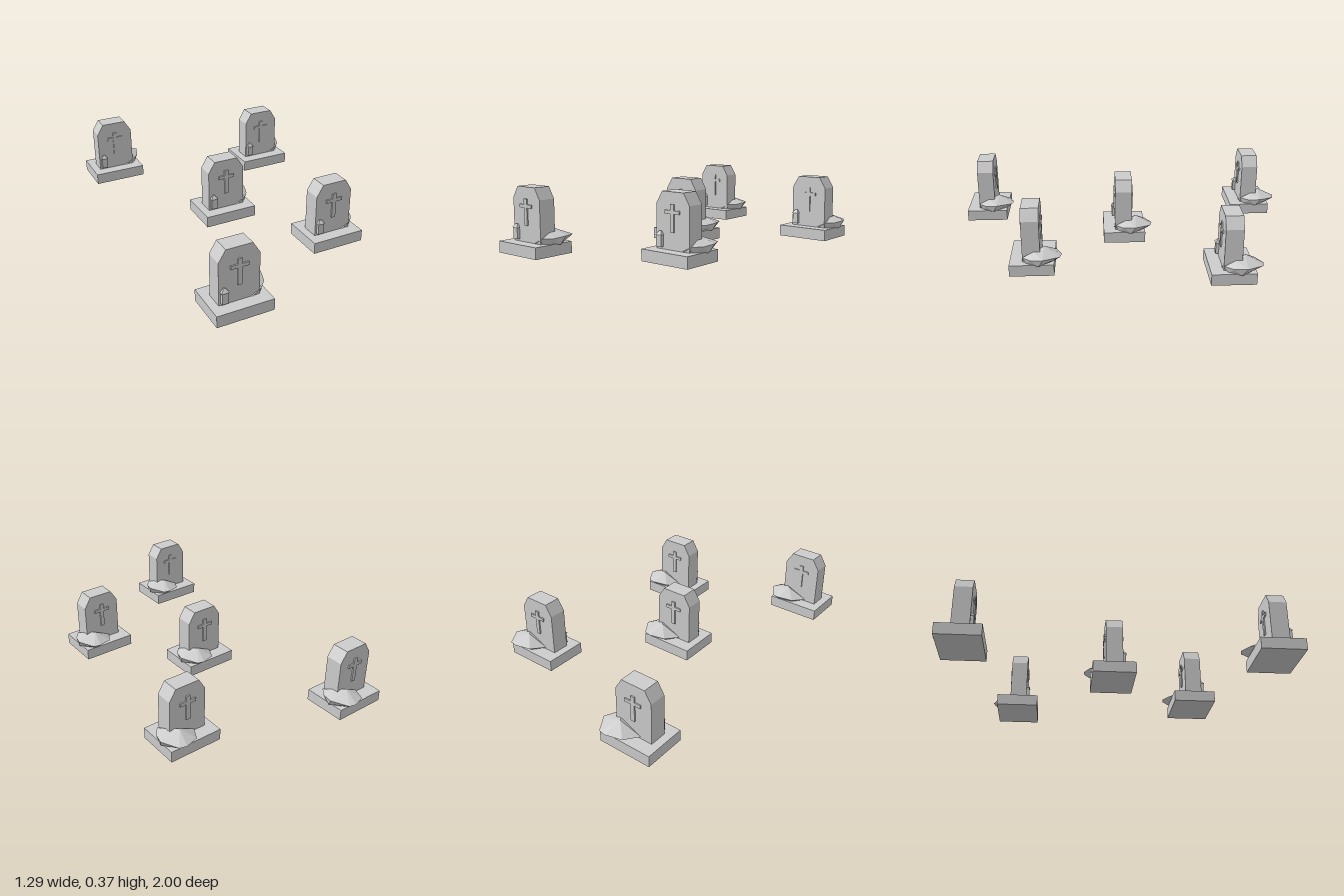
import * as THREE from 'three';
import { ConvexGeometry } from 'three/addons/geometries/ConvexGeometry.js';

const stoneGrey = new THREE.MeshStandardMaterial({ color: 0xcccccc });
stoneGrey.name = 'stone grey';

function part(name, geometry, x = 0, y = 0, z = 0) {
  const mesh = new THREE.Mesh(geometry, stoneGrey);
  mesh.name = name;
  mesh.position.set(x, y, z);
  return mesh;
}

// Extrude an outline along z, centred on z = 0
function slab(points, depth) {
  const shape = new THREE.Shape(points.map(([x, y]) => new THREE.Vector2(x, y)));
  const geometry = new THREE.ExtrudeGeometry(shape, { depth, bevelEnabled: false });
  return geometry.translate(0, 0, -depth / 2);
}

// Square frustum with sides parallel to the axes and flat faces
function squareFrustum(topWidth, bottomWidth, height) {
  const geometry = new THREE.CylinderGeometry(topWidth * Math.SQRT1_2, bottomWidth * Math.SQRT1_2, height, 4)
    .rotateY(Math.PI / 4).toNonIndexed();
  geometry.computeVertexNormals();
  return geometry;
}

// Shared part geometries
const plinthGeometry = new THREE.BoxGeometry(0.317, 0.066, 0.25);

const headstoneGeometry = slab([
  [-0.113, 0.066], [0.113, 0.066], [0.113, 0.308],
  [0.073, 0.373], [-0.073, 0.373], [-0.113, 0.308],
], 0.1);

const crossHalf = [[0.012, 0.16], [0.012, 0.258], [0.05, 0.258], [0.05, 0.277], [0.012, 0.277], [0.012, 0.308]];
const crossGeometry = slab(
  [...crossHalf, ...crossHalf.map(([x, y]) => [-x, y]).reverse()], 0.016);

const lanternBodyGeometry = new THREE.BoxGeometry(0.035, 0.064, 0.035);
const lanternRoofGeometry = squareFrustum(0.012, 0.042, 0.021);

// Low faceted boulder, tilted up towards the outer side
const boulderGeometry = new ConvexGeometry([
  // rim
  [-0.044, 0.075, -0.045], [0.004, 0.09, -0.134], [0.09, 0.1, -0.167], [0.131, 0.1, -0.158],
  [0.184, 0.107, -0.066], [0.164, 0.098, 0.005], [0.125, 0.098, 0.052], [0.07, 0.068, 0.06],
  // crown
  [0.067, 0.14, -0.07], [0.113, 0.125, -0.01],
  // underside
  [0.168, 0.062, -0.04], [0.13, 0.06, 0.03], [0.1, 0.062, -0.12], [0.02, 0.062, -0.1], [0, 0.06, -0.01],
].map((p) => new THREE.Vector3(...p)));

function createGrave() {
  const grave = new THREE.Group();
  const frontZ = 0.053;
  const backZ = -0.047;
  grave.add(
    part('plinth', plinthGeometry, 0, 0.033, 0),
    part('headstone', headstoneGeometry, 0, 0, 0.003),
    part('frontCross', crossGeometry, 0, 0, frontZ),
    part('backCross', crossGeometry, 0, 0, backZ),
    part('boulder', boulderGeometry),
  );

  // Small lantern set halfway into the front of the headstone
  const lantern = new THREE.Group();
  lantern.name = 'lantern';
  lantern.position.set(-0.084, 0, frontZ);
  lantern.add(
    part('lanternBody', lanternBodyGeometry, 0, 0.11, 0),
    part('lanternRoof', lanternRoofGeometry, 0, 0.1525, 0),
  );
  grave.add(lantern);
  return grave;
}

export function createModel() {
  const model = new THREE.Group();
  model.name = 'graveyard';
  // Plot centres on the ground
  const plots = [[-0.491, -0.833], [0.458, -0.566], [-0.092, 0.004], [0.308, 0.536], [-0.458, 0.874]];
  plots.forEach(([x, z], i) => {
    const grave = createGrave();
    grave.name = `grave${i + 1}`;
    grave.position.set(x, 0, z);
    model.add(grave);
  });
  return model;
}
